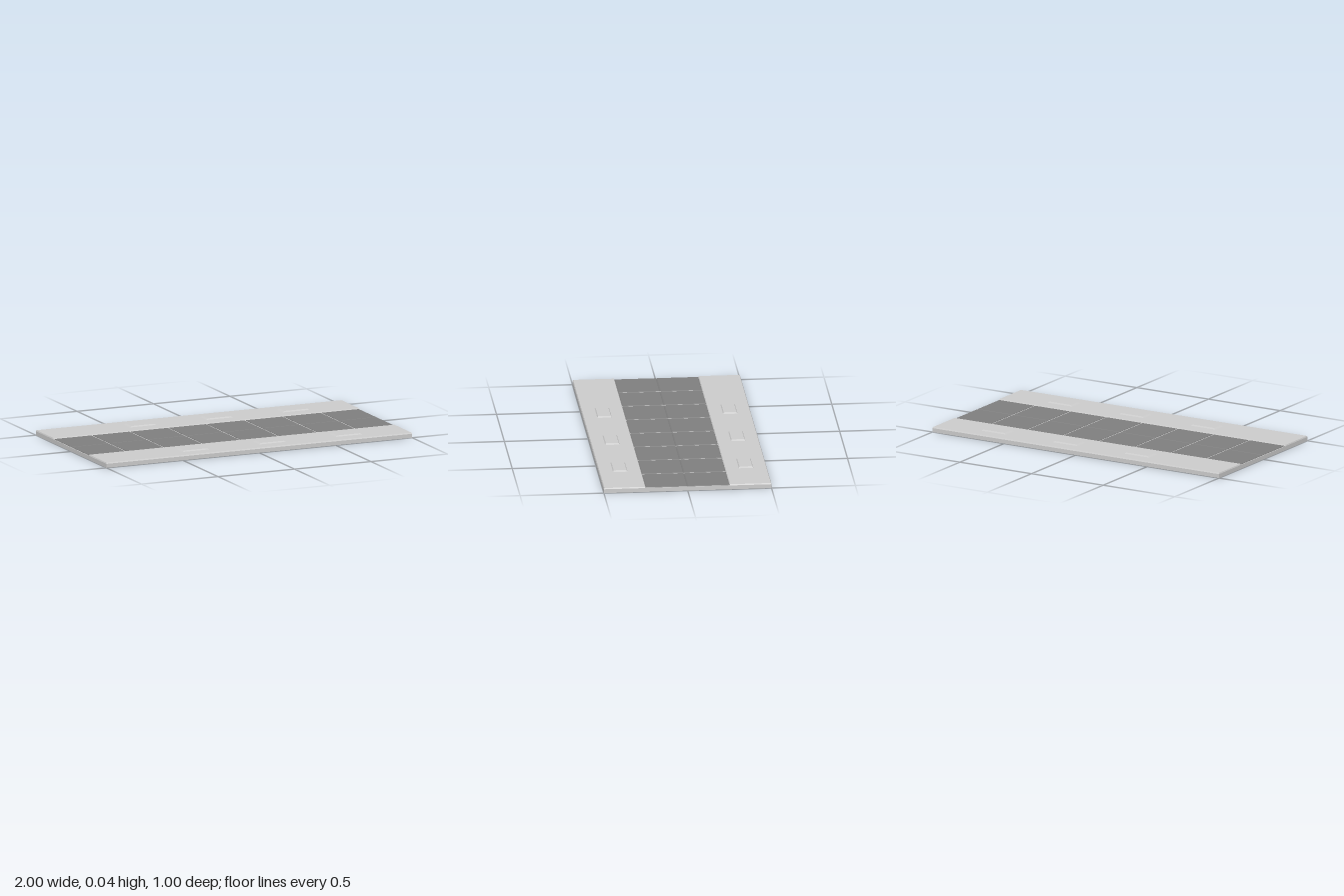
import * as THREE from 'three';

const grey = new THREE.MeshStandardMaterial({ color: 0xcccccc, flatShading: true });
const dark = new THREE.MeshStandardMaterial({ color: 0x7e7e7e, flatShading: true });

// Box standing on y, its top face drawn in by insetX and insetZ to make sloping sides
function slab(name, material, [w, h, d], [x, y, z], insetX = 0, insetZ = 0) {
  const geometry = new THREE.BoxGeometry(w, h, d).translate(0, h / 2, 0);
  const p = geometry.attributes.position;
  for (let i = 0; i < p.count; i++) {
    if (p.getY(i) < h / 2) continue;
    p.setX(i, p.getX(i) - Math.sign(p.getX(i)) * insetX);
    p.setZ(i, p.getZ(i) - Math.sign(p.getZ(i)) * insetZ);
  }
  geometry.computeVertexNormals();
  const mesh = new THREE.Mesh(geometry, material);
  mesh.name = name;
  mesh.position.set(x, y, z);
  return mesh;
}

export function createModel() {
  const model = new THREE.Group();
  model.name = 'floorSection';

  // Base plate
  model.add(slab('basePlate', grey, [2, 0.024, 1], [0, 0, 0]));

  for (const side of [-1, 1]) {
    // Raised border along each long edge, with a chamfered rim
    model.add(slab('border', grey, [2, 0.007, 0.25], [0, 0.024, side * 0.375], 0.003, 0.004));

    // Low bevelled blocks on the border
    for (const x of [-0.375, 0.125, 0.625]) {
      model.add(slab('raisedBlock', grey, [0.176, 0.008, 0.088], [x, 0.03, side * 0.375], 0.014, 0.006));
    }

    // Dark panels, eight to a row, with narrow gaps between them
    for (let i = 0; i < 8; i++) {
      const x = -0.875 + i * 0.25;
      model.add(slab('darkPanel', dark, [0.24, 0.003, 0.25], [x, 0.024, side * 0.125], 0.001, 0.005));
    }
  }
  return model;
}
